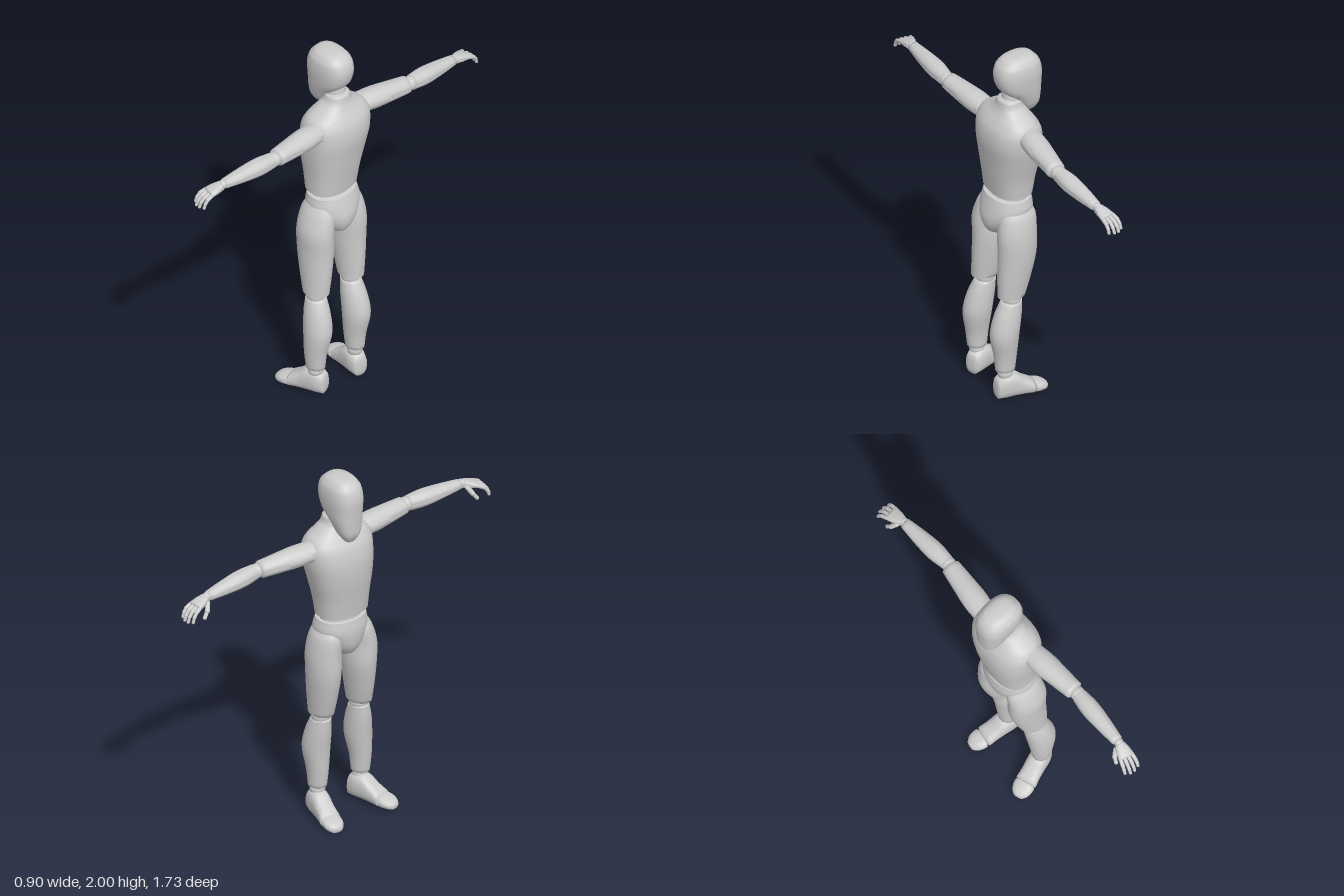
import * as THREE from 'three';
import { toCreasedNormals } from 'three/addons/utils/BufferGeometryUtils.js';

const material = new THREE.MeshStandardMaterial({ color: 0xcccccc });
const V = (x, y, z) => new THREE.Vector3(x, y, z);

// Smooth loft along +y. Each section is [y, centreX, centreZ, radiusX, radiusZ].
function loft(name, sections, { power = 2, bevel = 0.012, sides = 32, steps = 5 } = {}) {
  const s = [...sections].sort((a, b) => a[0] - b[0]);
  const centres = new THREE.CatmullRomCurve3(s.map(p => V(p[1], p[0], p[2])), false, 'centripetal');
  const radii = new THREE.CatmullRomCurve3(s.map(p => V(p[3], p[0], p[4])), false, 'centripetal');
  const rings = [];
  const n = (s.length - 1) * steps;
  for (let i = 0; i <= n; i++) {
    const c = centres.getPoint(i / n), r = radii.getPoint(i / n);
    rings.push([c.y, c.x, c.z, r.x, r.z]);
  }
  // rounded rim and closed cap at each end
  const cap = (r, dir) => [[0.35, 0.88], [0.8, 0.7], [1, 0.4], [1, 0]].map(([h, k]) =>
    [r[0] + dir * bevel * h, r[1], r[2], r[3] * k, r[4] * k]);
  rings.unshift(...cap(rings[0], -1).reverse());
  rings.push(...cap(rings[rings.length - 1], 1));

  const pos = [], index = [];
  const round = a => Math.sign(a) * Math.abs(a) ** (2 / power);
  for (const [y, cx, cz, rx, rz] of rings) {
    for (let j = 0; j < sides; j++) {
      const a = (j / sides) * Math.PI * 2;
      pos.push(cx + rx * round(Math.cos(a)), y, cz + rz * round(Math.sin(a)));
    }
  }
  for (let i = 0; i < rings.length - 1; i++) {
    for (let j = 0; j < sides; j++) {
      const a = i * sides + j, b = i * sides + (j + 1) % sides;
      index.push(a, a + sides, b, b, a + sides, b + sides);
    }
  }
  const geo = new THREE.BufferGeometry();
  geo.setAttribute('position', new THREE.Float32BufferAttribute(pos, 3));
  geo.setIndex(index);
  return named(name, toCreasedNormals(geo, 0.9));
}

function named(name, geometry) {
  const mesh = new THREE.Mesh(geometry, material);
  mesh.name = name;
  return mesh;
}

function ball(name, p, r) {
  const mesh = named(name, new THREE.SphereGeometry(r, 24, 16));
  mesh.position.copy(p);
  return mesh;
}

// Turns an object so its +y runs from a towards b and its +z points upwards
function place(object, a, b) {
  const t = b.clone().sub(a).normalize();
  const u = t.clone().cross(V(0, 1, 0)).normalize();
  const v = u.clone().cross(t);
  object.quaternion.setFromRotationMatrix(new THREE.Matrix4().makeBasis(u, t, v));
  object.position.copy(a);
  return object;
}

function capsule(name, a, b, r) {
  const length = a.distanceTo(b);
  const geo = new THREE.CapsuleGeometry(r, length, 5, 12).translate(0, length / 2, 0);
  const mesh = named(name, geo);
  mesh.quaternion.setFromUnitVectors(V(0, 1, 0), b.clone().sub(a).normalize());
  mesh.position.copy(a);
  return mesh;
}

// Hand along +y, back of the hand towards +z, thumb on the given side of x
function makeHand(name, side) {
  const hand = new THREE.Group();
  hand.name = name;
  hand.add(loft('palm', [
    [0.008, 0, 0, 0.026, 0.023], [0.04, 0, 0.004, 0.036, 0.02], [0.082, 0, 0.008, 0.043, 0.015],
  ], { power: 2.4, bevel: 0.006, sides: 24 }));
  [0.86, 1, 0.97, 0.8].forEach((k, i) => {
    const x = side * (0.033 - i * 0.022), end = x * 1.15;
    const p = [V(x, 0.086, 0.007), V(x * 1.1, 0.086 + 0.034 * k, 0.004),
      V(end, 0.086 + 0.06 * k, -0.01), V(end, 0.086 + 0.077 * k, -0.029)];
    for (let j = 0; j < 3; j++) hand.add(capsule('finger', p[j], p[j + 1], 0.0105 - j * 0.001));
  });
  const t = [V(side * 0.028, 0.025, -0.008), V(side * 0.046, 0.055, -0.03), V(side * 0.05, 0.085, -0.05)];
  hand.add(capsule('thumb', t[0], t[1], 0.013), capsule('thumb', t[1], t[2], 0.0105));
  return hand;
}

function makeArm(name, side, shoulder, elbow, wrist, tip) {
  const arm = new THREE.Group();
  arm.name = name;
  const upper = shoulder.distanceTo(elbow), fore = elbow.distanceTo(wrist);
  arm.add(place(loft('upperArm', [
    [0, 0, 0, 0.06, 0.05], [0.08, 0, 0, 0.064, 0.054], [upper * 0.6, 0, 0, 0.057, 0.05],
    [upper - 0.022, 0, 0, 0.049, 0.044],
  ]), shoulder, elbow));
  arm.add(ball('elbow', elbow, 0.038));
  arm.add(place(loft('forearm', [
    [0.014, 0, 0, 0.039, 0.041], [fore * 0.3, 0, 0, 0.048, 0.045],
    [fore * 0.65, 0, 0, 0.041, 0.037], [fore - 0.012, 0, 0, 0.029, 0.026],
  ], { bevel: 0.008 }), elbow, wrist));
  arm.add(ball('wrist', wrist, 0.024));
  arm.add(place(makeHand('hand', side), wrist, tip));
  return arm;
}

// hip, knee, calf and ankle are [x, z]; heel and toe are points on the ground
function makeLeg(name, hip, thigh, knee, calf, ankle, heel, toe) {
  const leg = new THREE.Group();
  leg.name = name;
  leg.add(loft('thigh', [
    [1.125, ...hip, 0.042, 0.075], [1.08, ...hip, 0.068, 0.098], [0.98, ...thigh, 0.08, 0.108],
    [0.86, ...thigh, 0.08, 0.106], [0.72, (thigh[0] + knee[0]) / 2, (thigh[1] + knee[1]) / 2, 0.07, 0.092],
    [0.61, ...knee, 0.06, 0.075],
  ]));
  leg.add(ball('knee', V(knee[0], 0.592, knee[1]), 0.05));
  leg.add(loft('shin', [
    [0.575, knee[0], knee[1], 0.05, 0.056], [0.5, knee[0] * 0.5 + calf[0] * 0.5, knee[1] * 0.5 + calf[1] * 0.5, 0.062, 0.072],
    [0.39, ...calf, 0.068, 0.078], [0.26, ...ankle, 0.054, 0.062], [0.17, ...ankle, 0.046, 0.052],
  ]));
  leg.add(ball('ankle', V(ankle[0], 0.148, ankle[1]), 0.04));

  // foot sections run from heel to toe: [distance, height, half width]
  const foot = new THREE.Group();
  foot.name = 'foot';
  const section = ([d, h, w]) => [d, 0, h / 2, w, h / 2];
  foot.add(loft('footBody', [
    [0.012, 0.115, 0.04], [0.05, 0.138, 0.05], [0.1, 0.136, 0.051], [0.15, 0.1, 0.051], [0.2, 0.068, 0.055],
  ].map(section), { power: 2.6, bevel: 0.01 }));
  foot.add(loft('toeCap', [
    [0.212, 0.062, 0.054], [0.24, 0.055, 0.052], [0.265, 0.045, 0.042], [0.278, 0.036, 0.03],
  ].map(section), { power: 2.4, bevel: 0.008 }));
  leg.add(place(foot, heel, toe));
  return leg;
}

export function createModel() {
  const figure = new THREE.Group();
  figure.name = 'mannequin';

  figure.add(loft('head', [
    [1.665, -0.01, 0.115, 0.034, 0.034], [1.7, -0.01, 0.108, 0.055, 0.057], [1.76, -0.01, 0.087, 0.073, 0.083],
    [1.82, -0.01, 0.058, 0.084, 0.115], [1.9, -0.01, 0.048, 0.09, 0.127], [1.955, -0.01, 0.047, 0.083, 0.113],
    [1.985, -0.01, 0.048, 0.064, 0.087],
  ], { power: 2.5, bevel: 0.014 }));
  figure.add(loft('neck', [[1.72, -0.01, 0.005, 0.052, 0.052], [1.86, -0.01, 0.02, 0.045, 0.045]]));

  figure.add(loft('torso', [
    [1.2, 0.022, 0.012, 0.14, 0.103], [1.3, 0.018, 0.012, 0.15, 0.117], [1.42, 0.01, 0.012, 0.172, 0.134],
    [1.53, 0.002, 0.006, 0.188, 0.142], [1.61, 0, 0.002, 0.188, 0.128], [1.655, 0, 0, 0.165, 0.103],
    [1.69, -0.004, 0, 0.112, 0.08], [1.72, -0.008, 0, 0.073, 0.066], [1.755, -0.01, 0, 0.06, 0.058],
  ], { power: 2.4, bevel: 0.01, sides: 40 }));
  figure.add(loft('waist', [[1.16, 0.02, 0.012, 0.12, 0.088], [1.21, 0.02, 0.012, 0.12, 0.088]]));
  figure.add(loft('pelvis', [
    [1.172, 0.021, 0.008, 0.135, 0.105], [1.11, 0.021, 0.003, 0.145, 0.118], [1.06, 0.025, -0.004, 0.125, 0.122],
    [1.01, 0.03, -0.008, 0.092, 0.115], [0.965, 0.035, -0.01, 0.055, 0.09], [0.945, 0.036, -0.01, 0.032, 0.06],
  ], { power: 2.2, bevel: 0.01 }));

  figure.add(makeLeg('leftLeg', [0.122, 0.004], [0.143, 0], [0.164, -0.025], [0.184, -0.058], [0.195, -0.053],
    V(0.17, 0.018, -0.11), V(0.25, 0.012, 0.159)));
  figure.add(makeLeg('rightLeg', [-0.072, 0.004], [-0.079, -0.004], [-0.071, -0.033], [-0.07, -0.074], [-0.066, -0.068],
    V(-0.057, 0.008, -0.127), V(-0.112, 0, 0.16)));

  figure.add(makeArm('leftArm', 1, V(0.165, 1.6, -0.02), V(0.473, 1.61, -0.039), V(0.806, 1.618, -0.012), V(0.974, 1.56, 0.03)));
  figure.add(makeArm('rightArm', -1, V(-0.165, 1.597, 0.008), V(-0.478, 1.575, -0.04), V(-0.8, 1.548, -0.033), V(-0.966, 1.49, -0.012)));

  // whole pose is turned about the vertical
  figure.rotation.y = THREE.MathUtils.degToRad(-115);
  const model = new THREE.Group();
  model.add(figure);
  return model;
}
